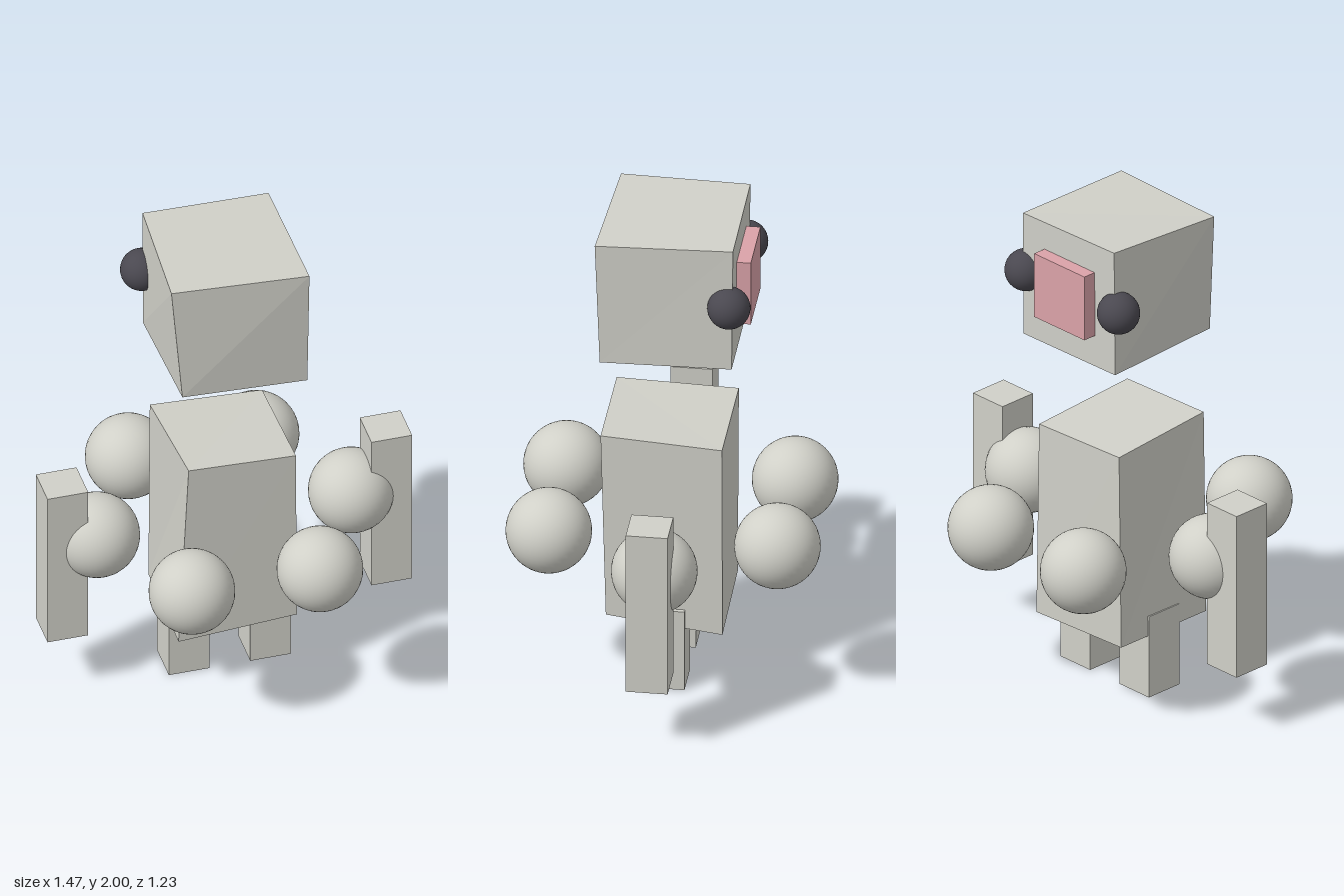
import * as THREE from 'three';

const stone = new THREE.MeshStandardMaterial({ name: 'pale stone grey', color: 0xd0d0c8 });
const dark = new THREE.MeshStandardMaterial({ name: 'dark eye grey', color: 0x4a4850 });
const pink = new THREE.MeshStandardMaterial({ name: 'dusty pink', color: 0xdaa2a8 });

// Box whose corners are nudged; corners are keyed by the signs of x, y, z (left is +x)
function crookedBox(corners) {
  const geometry = new THREE.BoxGeometry(2, 2, 2).toNonIndexed();
  const p = geometry.attributes.position;
  for (let i = 0; i < p.count; i++) {
    const key = [p.getX(i), p.getY(i), p.getZ(i)].map((v) => (v > 0 ? '+' : '-')).join('');
    p.setXYZ(i, ...corners[key]);
  }
  geometry.computeVertexNormals();
  return geometry;
}

export function createModel() {
  const model = new THREE.Group();
  model.name = 'blockCreature';

  const add = (name, geometry, material, x = 0, y = 0, z = 0) => {
    const mesh = new THREE.Mesh(geometry, material);
    mesh.name = name;
    mesh.position.set(x, y, z);
    model.add(mesh);
  };

  // Slightly crooked head and torso
  add('head', crookedBox({
    '-++': [-0.28, 1.99, 0.237], '+++': [0.268, 1.98, 0.266],
    '-+-': [-0.25, 2.0, -0.273], '++-': [0.258, 1.99, -0.273],
    '--+': [-0.24, 1.485, 0.252], '+-+': [0.265, 1.458, 0.247],
    '---': [-0.25, 1.468, -0.268], '+--': [0.26, 1.463, -0.268],
  }), stone);
  add('torso', crookedBox({
    '-++': [-0.213, 1.114, 0.245], '+++': [0.218, 1.1, 0.25],
    '-+-': [-0.233, 1.09, -0.23], '++-': [0.218, 1.07, -0.225],
    '--+': [-0.248, 0.27, 0.225], '+-+': [0.228, 0.305, 0.228],
    '---': [-0.24, 0.265, -0.225], '+--': [0.23, 0.25, -0.228],
  }), stone);

  // Snout plate on the back face of the head
  add('snout', new THREE.BoxGeometry(0.28, 0.275, 0.13), pink, 0, 1.738, -0.262);

  // Mirrored eyes, limbs and floating orbs
  const eye = new THREE.SphereGeometry(0.084, 32, 20);
  const orb = new THREE.SphereGeometry(0.168, 40, 24);
  const arm = new THREE.BoxGeometry(0.164, 0.7, 0.164);
  const leg = new THREE.BoxGeometry(0.164, 0.35, 0.164);
  for (const [side, s] of [['left', 1], ['right', -1]]) {
    add(side + 'Eye', eye, dark, s * 0.258, 1.738, -0.257);
    add(side + 'Arm', arm, stone, s * 0.653, 0.615, 0);
    add(side + 'Leg', leg, stone, s * 0.164, 0.175, 0);
    add(side + 'SideOrb', orb, stone, s * 0.513, 0.684, 0);
    add(side + 'FrontOrb', orb, stone, s * 0.258, 0.684, 0.447);
    add(side + 'BackOrb', orb, stone, s * 0.258, 0.684, -0.447);
  }
  return model;
}
